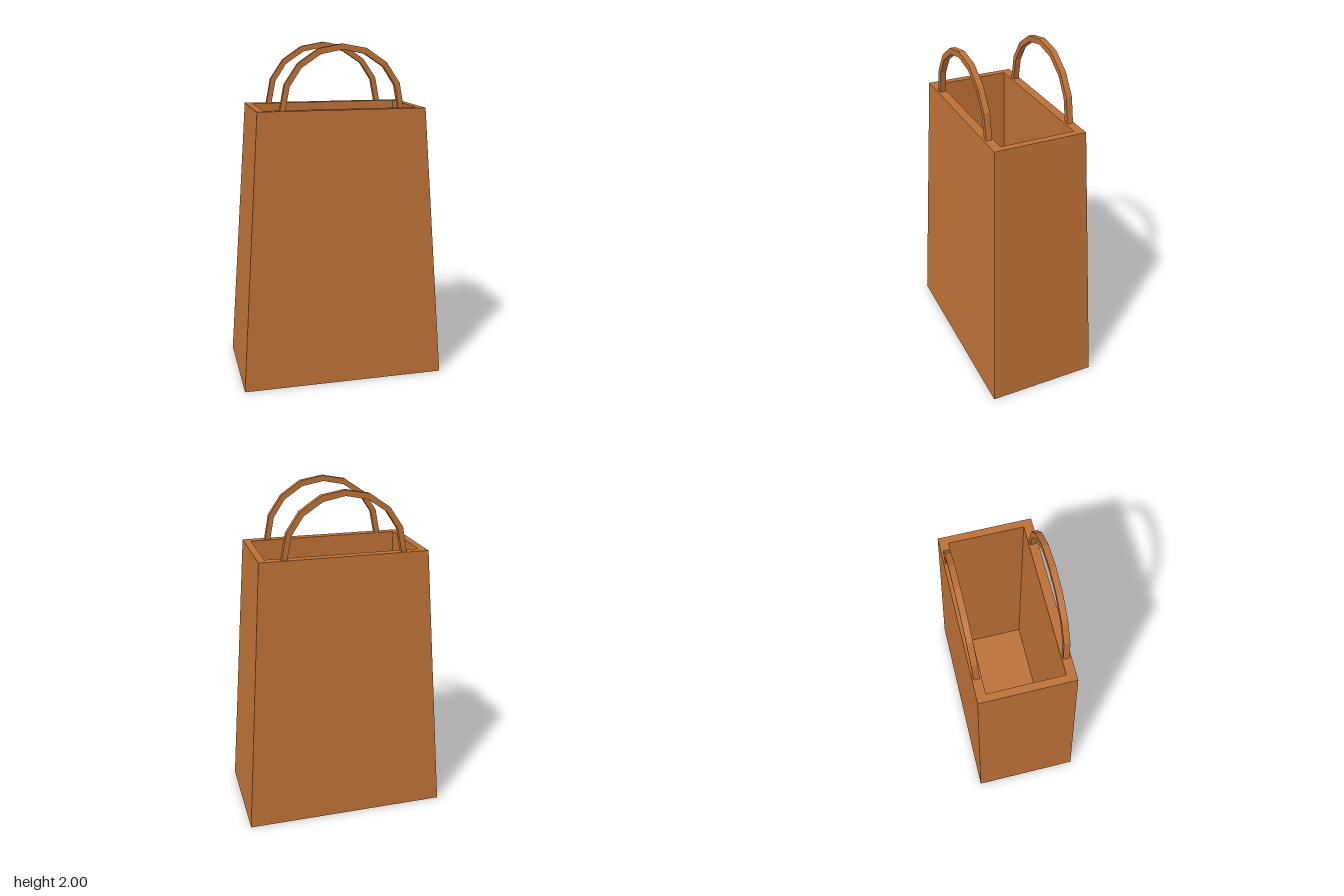
import * as THREE from 'three';

const material = new THREE.MeshStandardMaterial({ color: 0xbc7036, flatShading: true });

// Rectangular ring of corners, counter-clockwise seen from above
const ring = (x, z, y) => [[-x, y, z], [x, y, z], [x, y, -z], [-x, y, -z]];

// Skin consecutive rings with flat quads and cap the first and last one
function loftRings(rings) {
  const pos = [];
  const quad = (a, b, c, d) => pos.push(...a, ...b, ...c, ...a, ...c, ...d);
  for (let r = 0; r < rings.length - 1; r++) {
    const lo = rings[r], hi = rings[r + 1];
    for (let i = 0; i < 4; i++) {
      const j = (i + 1) % 4;
      quad(lo[i], lo[j], hi[j], hi[i]);
    }
  }
  quad(...[...rings[0]].reverse());
  quad(...rings[rings.length - 1]);
  const geo = new THREE.BufferGeometry();
  geo.setAttribute('position', new THREE.Float32BufferAttribute(pos, 3));
  geo.computeVertexNormals();
  return geo;
}

// Faceted arch with a rectangular section, centred on its own depth
function handleGeometry(depth) {
  const outer = [[0.363, 1.625], [0.333, 1.78], [0.255, 1.895], [0.137, 1.975], [0, 2]];
  const inner = [[0.332, 1.625], [0.304, 1.767], [0.236, 1.87], [0.126, 1.943], [0, 1.968]];
  const arch = (half) => [
    ...half,
    ...half.slice(0, -1).reverse().map(([x, y]) => [-x, y]),
  ];
  const outline = [...arch(outer), ...arch(inner).reverse()];
  const shape = new THREE.Shape(outline.map(([x, y]) => new THREE.Vector2(x, y)));
  return new THREE.ExtrudeGeometry(shape, { depth, bevelEnabled: false }).translate(0, 0, -depth / 2);
}

export function createModel() {
  const model = new THREE.Group();
  model.name = 'bag';

  // Tapered body: outside wall, rim, inside wall and floor
  const body = new THREE.Mesh(loftRings([
    ring(0.608, 0.331, 0),
    ring(0.49, 0.268, 1.635),
    ring(0.448, 0.215, 1.635),
    ring(0.448, 0.215, 0.06),
  ]), material);
  body.name = 'body';
  model.add(body);

  // Pair of handles standing on the long rims
  const geo = handleGeometry(0.034);
  for (const [name, z] of [['frontHandle', 0.24], ['backHandle', -0.243]]) {
    const handle = new THREE.Mesh(geo, material);
    handle.name = name;
    handle.position.z = z;
    model.add(handle);
  }
  return model;
}
